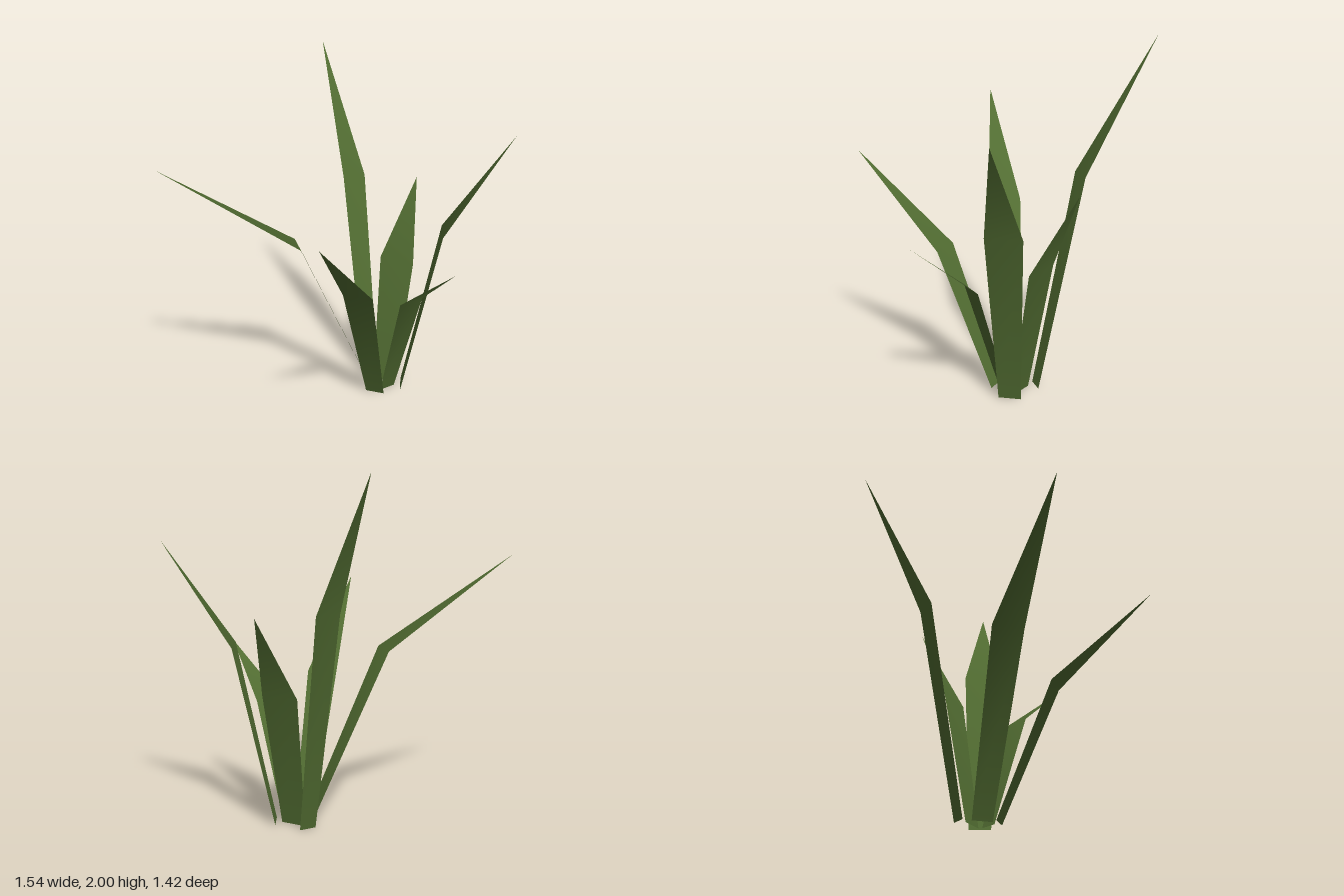
import * as THREE from 'three';

// Each blade: base centre [x, z], tip [x, y, z], bend height, base width, bend width
const BLADES = [
  { name: 'backRightBlade', base: [0.008, -0.363], tip: [-0.585, 2.0, -0.712], bendY: 1.25, baseW: 0.098, bendW: 0.143 },
  { name: 'backBlade', base: [0.119, -0.34], tip: [0.105, 1.24, -0.715], bendY: 0.77, baseW: 0.152, bendW: 0.225 },
  { name: 'backLeftBlade', base: [0.23, -0.354], tip: [0.767, 1.62, -0.665], bendY: 1.03, baseW: 0.128, bendW: 0.208 },
  { name: 'leftBlade', base: [0.182, -0.272], tip: [0.725, 0.97, -0.065], bendY: 0.67, baseW: 0.108, bendW: 0.165 },
  { name: 'frontBlade', base: [0.148, -0.183], tip: [0.352, 1.3, 0.71], bendY: 0.79, baseW: 0.114, bendW: 0.178 },
  { name: 'frontRightBlade', base: [0.075, -0.249], tip: [-0.768, 1.5, 0.653], bendY: 0.985, baseW: 0.122, bendW: 0.19 },
];
const BEND = 0.362; // share of the outward reach at which a blade bends

// A flat leaf: a widening stalk strip, then a pointed end bent outwards
function bladeGeometry({ base, tip, bendY, baseW, bendW }) {
  const root = new THREE.Vector3(base[0], 0, base[1]);
  const end = new THREE.Vector3(...tip);
  const bend = root.clone().lerp(end, BEND).setY(bendY);
  const side = new THREE.Vector3(end.z - root.z, 0, root.x - end.x).normalize();
  const edge = (p, w) => p.clone().addScaledVector(side, w);
  const points = [
    edge(root, -baseW / 2), edge(root, baseW / 2),
    edge(bend, -bendW / 2), edge(bend, bendW / 2),
    end,
  ];
  const geometry = new THREE.BufferGeometry().setFromPoints(points);
  geometry.setIndex([0, 1, 3, 0, 3, 2, 2, 3, 4]);
  geometry.computeVertexNormals();
  return geometry;
}

export function createModel() {
  const leafGreen = new THREE.MeshStandardMaterial({ color: 0x526d32, side: THREE.DoubleSide });
  leafGreen.name = 'leafGreen';

  const plant = new THREE.Group();
  plant.name = 'grassTuft';
  for (const blade of BLADES) {
    const mesh = new THREE.Mesh(bladeGeometry(blade), leafGreen);
    mesh.name = blade.name;
    plant.add(mesh);
  }
  return plant;
}
